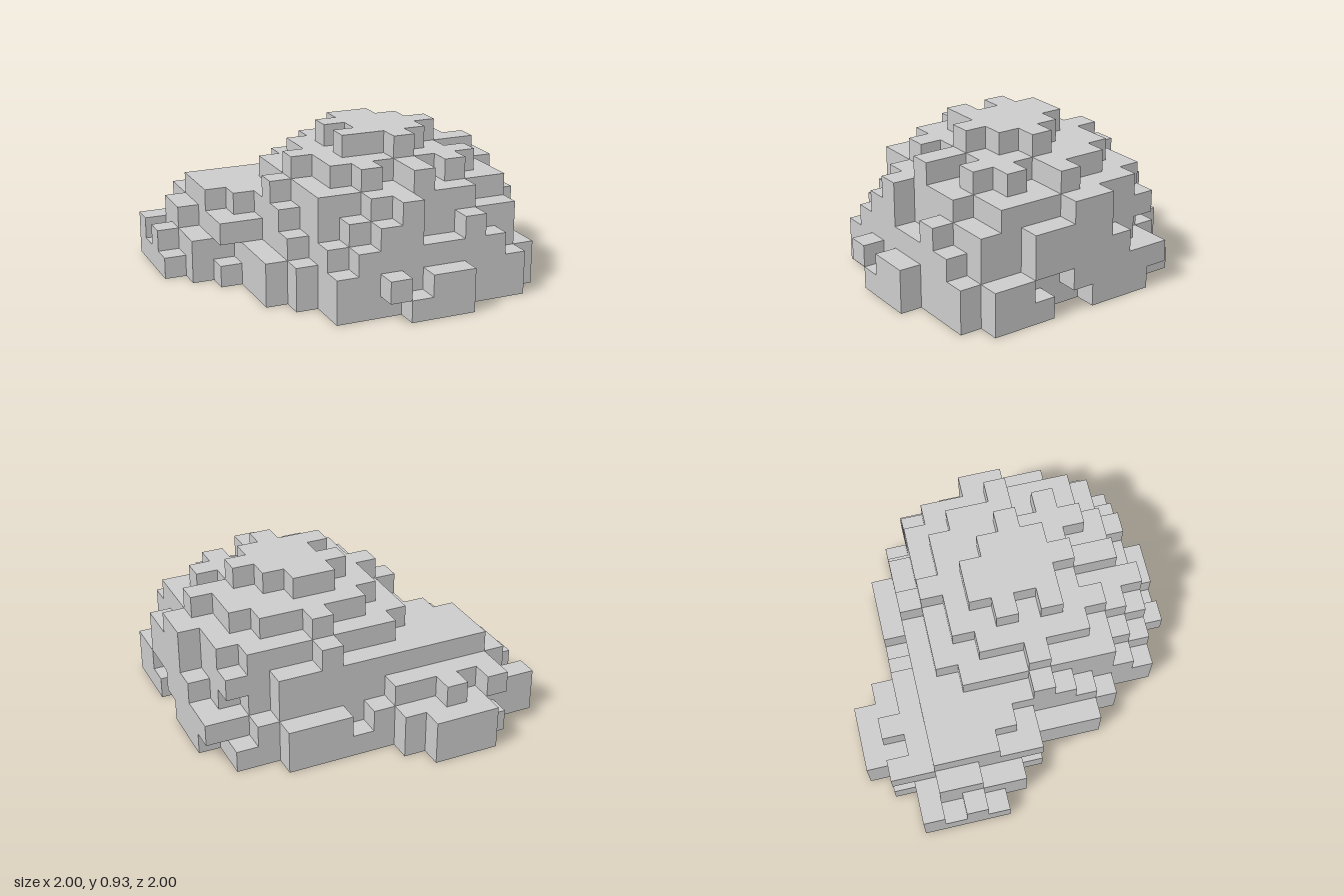
import * as THREE from 'three';
import { mergeGeometries } from 'three/addons/utils/BufferGeometryUtils.js';

const N = 15;          // cells along x and z
const H = 7;           // cells in height
const S = 2 / N;       // cell size

// Repeatable noise in 0..1 for a cell
function noise(i, k, j) {
  const v = Math.sin(i * 12.99 + k * 78.23 + j * 37.72) * 43758.55;
  return v - Math.floor(v);
}

// Rough dome: solid core, with an outer shell of scattered cells;
// the upper back forms unbroken terraces
function inDome(dx, k, dz, core, limit, i, j) {
  const d = dx * dx + k * k + dz * dz;
  if (d <= core) return true;
  if (d > limit) return false;
  if (k >= 3 && dz < 0) return true;
  return k === 0 || dx === 0 || dz === 0 || noise(i, k, j) < 0.6;
}

// Top plateau of the large mound: first and last x cell per row from z cell 6
const crownRows = [[8, 9], [7, 10], [8, 11], [7, 10], [9, 9]];

// Front row of the large mound: heights from x cell 5
const frontHeights = [2, 3, 4, 5, 3, 3, 4, 3, 2];

// Outermost +x slice of the large mound: filled z cells per layer, bottom up
const sideLayers = [[5, 6, 7, 10, 11, 12], [4, 5, 6, 7, 8, 11, 12], [6, 7, 8, 9, 10], [7, 8, 9, 10], [7, 8]];

// Single cells added to or cut from the rim of the small mound (x, y, z)
const rimCells = { '0,0,2': true, '0,1,2': true, '1,1,6': true, '0,1,5': false, '2,1,7': false };

function isCrown(i, k, j) {
  const row = crownRows[j - 6];
  return k === 6 && !!row && i >= row[0] && i <= row[1];
}

function isLarge(i, k, j) {
  const dx = i - 9, dz = j - 8;
  if (k > 5) return false;
  // Stepped blocks at the very front
  if (j === 14) return (k === 0 && i >= 8 && i <= 10) || (k === 1 && [7, 9, 10].includes(i));
  if (j === 13) return k < (frontHeights[i - 5] ?? 0);
  if (i === 14) return !!sideLayers[k]?.includes(j);
  if (i === 4 && j === 12) return false;
  if (k > 1 && Math.max(Math.abs(dx), Math.abs(dz)) > 5) return false;
  return inDome(dx, k, dz, 34, 41, i, j);
}

function isSmall(i, k, j) {
  if (k > 3 || (k === 3 && j < 3)) return false;
  // Square block at the very back
  if (j === 0) return k < 2 && i >= 3 && i <= 5;
  return rimCells[`${i},${k},${j}`] ?? inDome(i - 4, k, j - 4, 13, 17, i, j);
}

// Which part owns a cell
function partAt(i, k, j) {
  if (i < 0 || j < 0 || k < 0 || i >= N || j >= N || k >= H) return null;
  if (isCrown(i, k, j)) return 'crown';
  if (isLarge(i, k, j)) return 'largeMound';
  if (isSmall(i, k, j)) return 'smallMound';
  return null;
}

// One square face for each of the six directions
const face = () => new THREE.PlaneGeometry(S, S).translate(0, 0, S / 2);
const sides = [
  { dir: [0, 0, 1], geo: face() },
  { dir: [0, 0, -1], geo: face().rotateY(Math.PI) },
  { dir: [1, 0, 0], geo: face().rotateY(Math.PI / 2) },
  { dir: [-1, 0, 0], geo: face().rotateY(-Math.PI / 2) },
  { dir: [0, 1, 0], geo: face().rotateX(-Math.PI / 2) },
  { dir: [0, -1, 0], geo: face().rotateX(Math.PI / 2) },
];

export function createModel() {
  const group = new THREE.Group();
  group.name = 'blockyBush';
  const material = new THREE.MeshStandardMaterial({ color: 0xcccccc, flatShading: true });
  const faces = { largeMound: [], smallMound: [], crown: [] };

  // Keep only the faces that are open to the air
  for (let i = 0; i < N; i++)
    for (let k = 0; k < H; k++)
      for (let j = 0; j < N; j++) {
        const part = partAt(i, k, j);
        if (!part) continue;
        for (const { dir, geo } of sides) {
          if (partAt(i + dir[0], k + dir[1], j + dir[2])) continue;
          faces[part].push(geo.clone().translate((i - 7) * S, (k + 0.5) * S, (j - 7) * S));
        }
      }

  for (const [name, list] of Object.entries(faces)) {
    const mesh = new THREE.Mesh(mergeGeometries(list), material);
    mesh.name = name;
    group.add(mesh);
  }
  return group;
}
